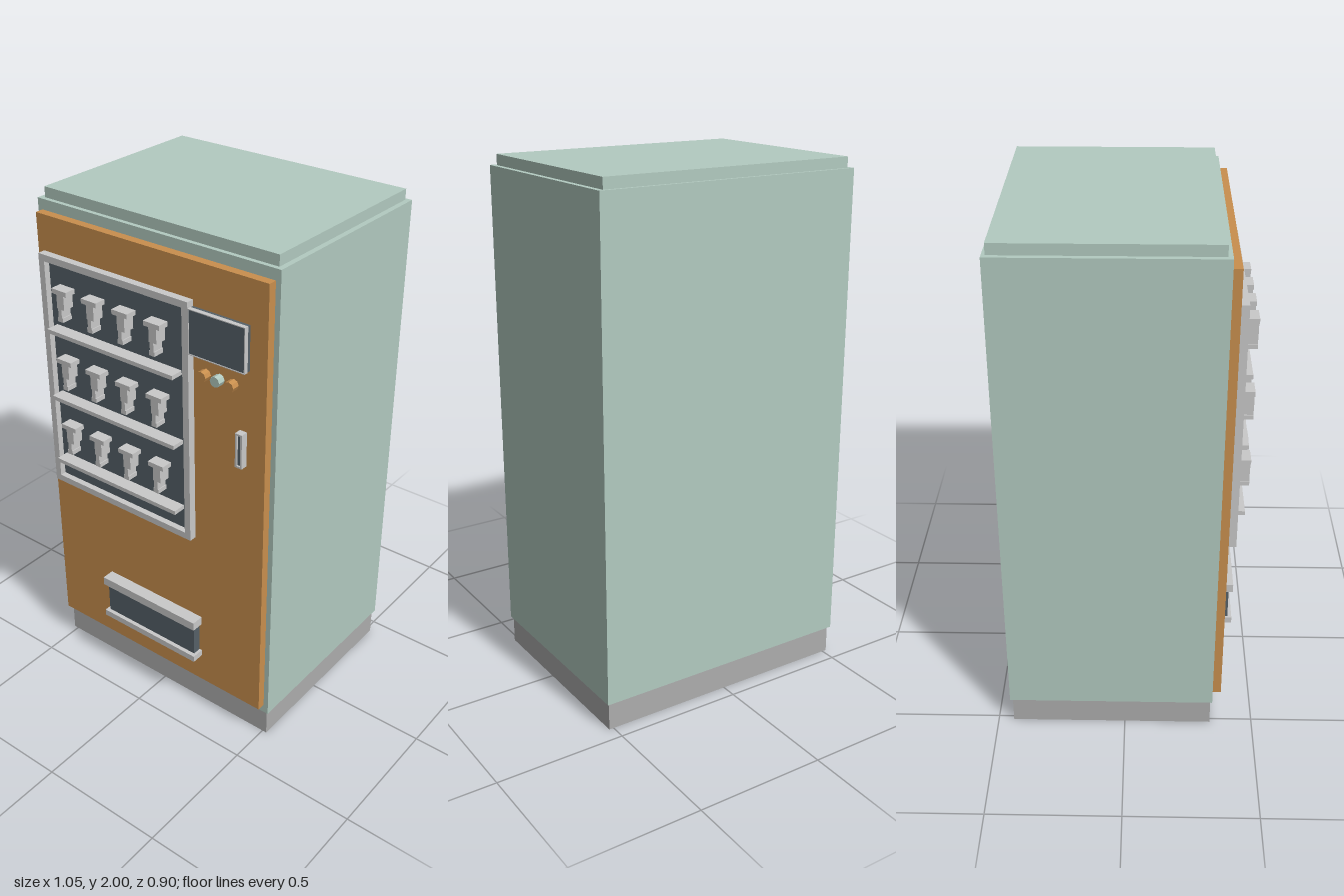
import * as THREE from 'three';

const mat = (name, color) => {
  const m = new THREE.MeshStandardMaterial({ color });
  m.name = name;
  return m;
};

export function createModel() {
  const mint = mat('mint', 0xb2cac0);
  const orange = mat('orange', 0xc98f4e);
  const dark = mat('dark glass', 0x566168);
  const light = mat('light grey', 0xc9c9c9);
  const grey = mat('base grey', 0xadadad);

  const model = new THREE.Group();
  model.name = 'vendingMachine';

  // Box given by its limits on each axis
  const box = (name, m, x0, x1, y0, y1, z0, z1, parent = model) => {
    const mesh = new THREE.Mesh(new THREE.BoxGeometry(x1 - x0, y1 - y0, z1 - z0), m);
    mesh.position.set((x0 + x1) / 2, (y0 + y1) / 2, (z0 + z1) / 2);
    mesh.name = name;
    parent.add(mesh);
    return mesh;
  };
  const group = (name) => {
    const g = new THREE.Group();
    g.name = name;
    model.add(g);
    return g;
  };
  // Rectangular frame of four bars
  const frame = (name, m, x0, x1, y0, y1, z0, z1, t) => {
    const g = group(name);
    box('topBar', m, x0, x1, y1 - t, y1, z0, z1, g);
    box('bottomBar', m, x0, x1, y0, y0 + t, z0, z1, g);
    box('rightBar', m, x0, x0 + t, y0 + t, y1 - t, z0, z1, g);
    box('leftBar', m, x1 - t, x1, y0 + t, y1 - t, z0, z1, g);
  };

  // Cabinet
  box('base', grey, -0.518, 0.518, 0, 0.11, -0.44, 0.335);
  box('cabinet', mint, -0.527, 0.527, 0.11, 1.96, -0.45, 0.342);
  box('roof', mint, -0.507, 0.507, 1.96, 2, -0.437, 0.325);
  box('door', orange, -0.507, 0.507, 0.147, 1.92, 0.342, 0.375);

  // Display window
  box('windowGlass', dark, -0.457, 0.178, 0.85, 1.76, 0.375, 0.381);
  frame('windowFrame', light, -0.48, 0.203, 0.828, 1.783, 0.375, 0.405, 0.026);

  // Shelves, each with a row of plain goods: wide top, side body, narrow stem and foot
  const shelves = group('shelves');
  const goods = group('goods');
  for (let row = 0; row < 3; row++) {
    const y = 0.946 + row * 0.277;
    box('shelf', light, -0.435, 0.155, y - 0.008, y + 0.008, 0.381, 0.433, shelves);
    for (let col = 0; col < 4; col++) {
      const x = -0.345 + col * 0.1425;
      const item = new THREE.Group();
      item.name = 'product';
      item.position.set(x, y, 0);
      goods.add(item);
      box('productTop', light, -0.035, 0.035, 0.172, 0.19, 0.405, 0.45, item);
      box('productBody', light, -0.012, 0.022, 0.118, 0.172, 0.405, 0.45, item);
      box('productStem', light, -0.008, 0.008, 0.085, 0.118, 0.405, 0.45, item);
      box('productFoot', light, -0.012, 0.012, 0.068, 0.085, 0.405, 0.45, item);
    }
  }

  // Payment screen with a thin rim
  box('screen', dark, 0.203, 0.437, 1.595, 1.76, 0.375, 0.402);
  frame('screenRim', light, 0.203, 0.438, 1.594, 1.761, 0.388, 0.405, 0.003);

  // Selection buttons
  [0.257, 0.315, 0.373].forEach((x, i) => {
    const geo = new THREE.CylinderGeometry(0.02, 0.02, 0.03, 8).toNonIndexed();
    geo.computeVertexNormals();
    const button = new THREE.Mesh(geo, i === 1 ? mint : orange);
    button.rotation.x = Math.PI / 2;
    button.position.set(x, 1.526, 0.39);
    button.name = 'button';
    model.add(button);
  });

  // Coin slot
  frame('coinSlotFrame', light, 0.401, 0.43, 1.227, 1.361, 0.375, 0.403, 0.007);
  box('coinSlot', dark, 0.408, 0.423, 1.234, 1.354, 0.375, 0.396);

  // Collection tray
  box('trayFlap', dark, -0.223, 0.218, 0.285, 0.44, 0.375, 0.409);
  box('trayTop', light, -0.234, 0.229, 0.427, 0.462, 0.375, 0.425);
  box('trayBottom', light, -0.234, 0.229, 0.27, 0.296, 0.375, 0.425);

  return model;
}
